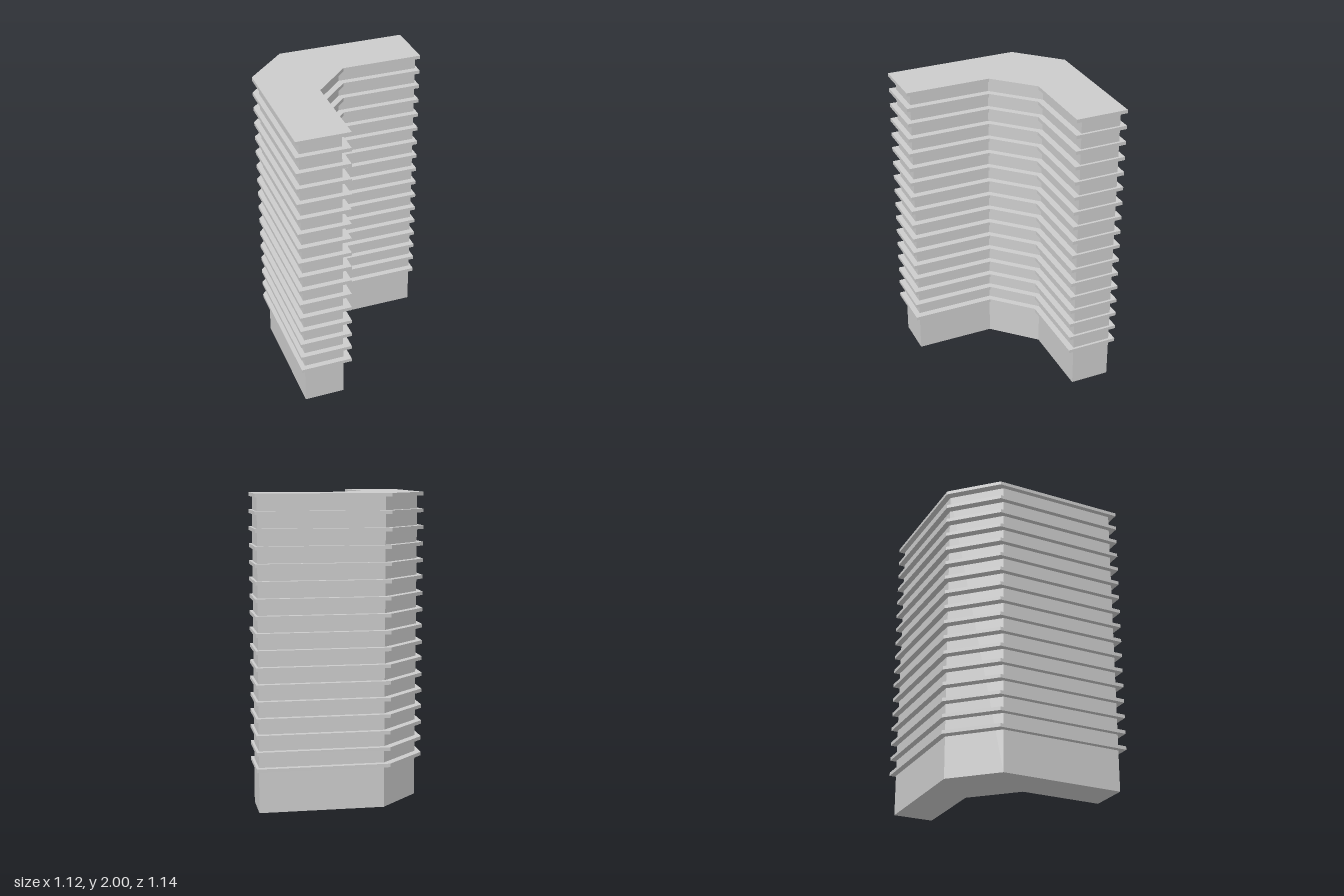
import * as THREE from 'three';

const material = new THREE.MeshStandardMaterial({ color: 0xcccccc, flatShading: true });

// Plan outlines as [x, z] corners
const corePlan = [
  [-0.527, -0.27], [-0.262, -0.535], [0.54, -0.535], [0.54, -0.27],
  [0.005, -0.27], [-0.26, -0.003], [-0.26, 0.532], [-0.527, 0.532],
];
const slabPlan = [
  [-0.56, -0.307], [-0.294, -0.573], [0.557, -0.573], [0.557, -0.228],
  [0.024, -0.228], [-0.214, 0.01], [-0.214, 0.57], [-0.56, 0.57],
];

// Extrudes a plan upward from y = 0
function extrudePlan(plan, height) {
  const shape = new THREE.Shape(plan.map(([x, z]) => new THREE.Vector2(x, z)));
  const geometry = new THREE.ExtrudeGeometry(shape, { depth: height, bevelEnabled: false });
  return geometry.rotateX(Math.PI / 2).translate(0, height, 0);
}

export function createModel() {
  const tower = new THREE.Group();
  tower.name = 'towerBlock';

  // Angled core, ending just inside the roof slab
  const core = new THREE.Mesh(extrudePlan(corePlan, 1.99), material);
  core.name = 'buildingCore';
  tower.add(core);

  // Projecting floor slabs, the last one forming the roof
  const count = 17, thickness = 0.023, firstY = 0.27;
  const step = (2 - thickness - firstY) / (count - 1);
  const slabGeometry = extrudePlan(slabPlan, thickness);
  for (let i = 0; i < count; i++) {
    const slab = new THREE.Mesh(slabGeometry, material);
    slab.name = i === count - 1 ? 'roofSlab' : `floorSlab${i + 1}`;
    slab.position.y = firstY + i * step;
    tower.add(slab);
  }
  return tower;
}
